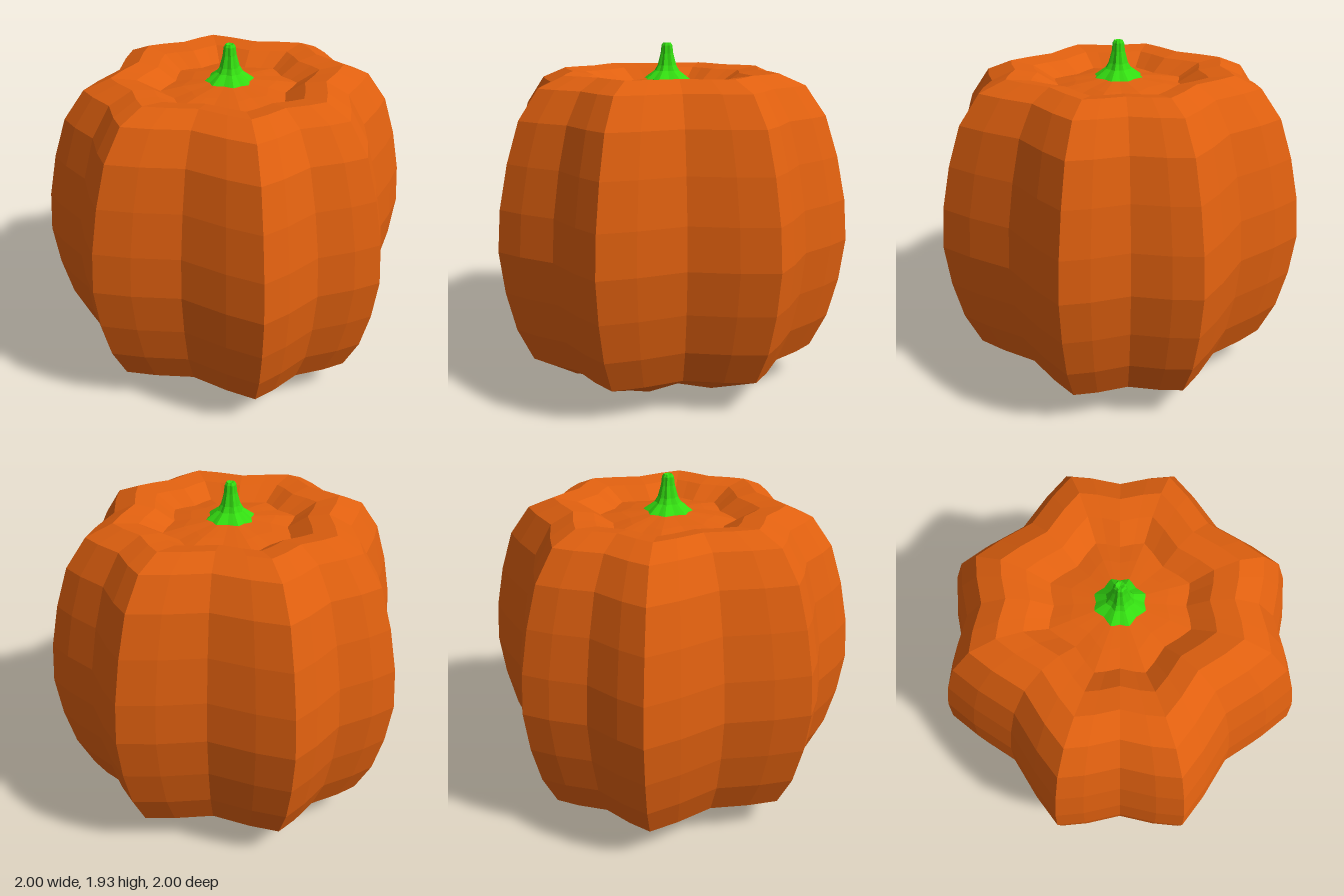
import * as THREE from 'three';

// One eighth of the ribbed outline: valley, shoulder, ridge, flank, valley
const EIGHTH = [[0.94, 0], [0.985, 0.2], [1, 0.355], [0.84, 0.48], [0.62, 0.62]];

// Full outline: mirrored across the diagonal, then turned through four quadrants
function ribbedOutline() {
  const quadrant = [...EIGHTH, ...EIGHTH.slice(1, 4).reverse().map(([x, z]) => [z, x])];
  const points = [];
  for (let q = 0; q < 4; q++) {
    for (const [x, z] of quadrant) {
      points.push([[x, z], [-z, x], [-x, -z], [z, -x]][q]);
    }
  }
  return points;
}

// Skins rings of [scale, y, oddScale, oddY], listed bottom to top, with a centre point at each end
function loft(rings, bottomY, topY) {
  const outline = ribbedOutline();
  const n = outline.length;
  const positions = [];
  const index = [];
  for (const [s, y, oddS = s, oddY = y] of rings) {
    outline.forEach(([x, z], i) => {
      const k = i % 2 ? oddS : s;
      positions.push(x * k, i % 2 ? oddY : y, z * k);
    });
  }
  const bottom = rings.length * n;
  const top = bottom + 1;
  positions.push(0, bottomY, 0, 0, topY, 0);
  const last = (rings.length - 1) * n;
  for (let i = 0; i < n; i++) {
    const j = (i + 1) % n;
    index.push(bottom, i, j, top, last + j, last + i);
    for (let r = 0; r < last; r += n) {
      index.push(r + i, r + n + i, r + j, r + j, r + n + i, r + n + j);
    }
  }
  const geometry = new THREE.BufferGeometry();
  geometry.setAttribute('position', new THREE.Float32BufferAttribute(positions, 3));
  geometry.setIndex(index);
  const flat = geometry.toNonIndexed();
  flat.computeVertexNormals();
  return flat;
}

function part(name, geometry, color) {
  const material = new THREE.MeshStandardMaterial({ color, flatShading: true });
  const mesh = new THREE.Mesh(geometry, material);
  mesh.name = name;
  return mesh;
}

export function createModel() {
  const model = new THREE.Group();
  model.name = 'pumpkin';

  // Ribbed body, with a scalloped underside and a sunken crown
  const body = loft([
    [0.6, 0.07, 0.68, 0.09],
    [0.84, 0.2],
    [0.925, 0.4],
    [0.975, 0.63],
    [1, 0.87],
    [0.98, 1.1],
    [0.93, 1.34],
    [0.86, 1.56],
    [0.75, 1.72],
    [0.61, 1.78],
    [0.48, 1.76],
    [0.36, 1.69],
    [0.25, 1.71],
  ], 0, 1.74);
  model.add(part('body', body, 0xe0600f));

  // Flared stem rising from the crown
  const stem = loft([
    [0.13, 1.735],
    [0.07, 1.78],
    [0.053, 1.81],
    [0.036, 1.875],
    [0.031, 1.92],
    [0.022, 1.935],
  ], 1.72, 1.925);
  model.add(part('stem', stem, 0x33dd11));

  return model;
}
